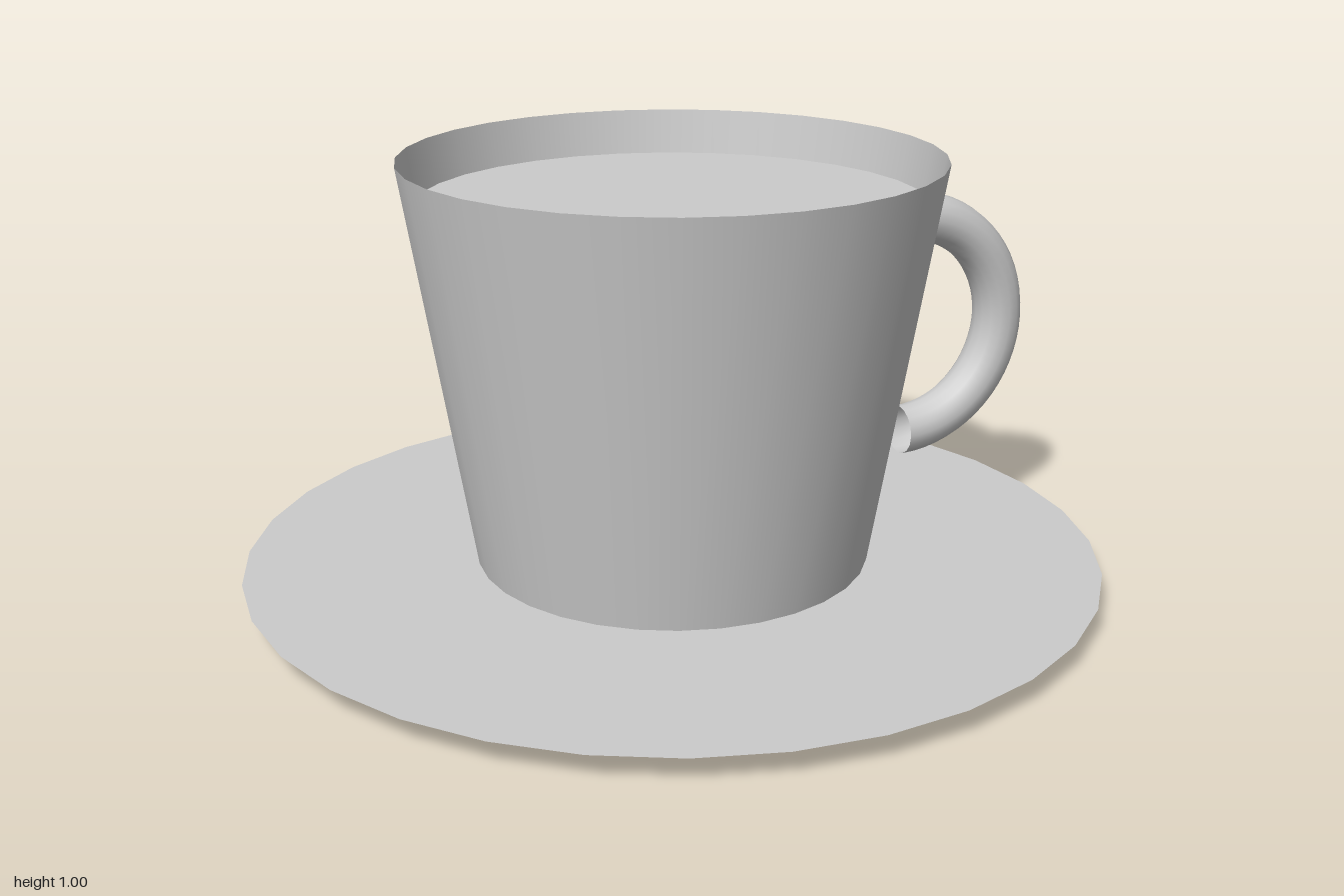
import * as THREE from 'three';

const SIDES = 32;

export function createModel() {
  const model = new THREE.Group();
  model.name = 'cupAndSaucer';
  const material = new THREE.MeshStandardMaterial({ color: 0xcccccc });
  const thin = new THREE.MeshStandardMaterial({ color: 0xcccccc, side: THREE.DoubleSide });

  const add = (name, geometry, mat, x, y) => {
    const mesh = new THREE.Mesh(geometry, mat);
    mesh.name = name;
    mesh.position.set(x, y, 0);
    model.add(mesh);
    return mesh;
  };

  // Flat-topped saucer with a flared underside
  add('saucer', new THREE.CylinderGeometry(1, 0.77, 0.06, SIDES), material, 0, 0.03);

  // Thin tapered cup wall, open at the top
  add('cupWall', new THREE.CylinderGeometry(0.615, 0.46, 0.94, SIDES, 1, true), thin, 0, 0.53);

  // Drink filling the cup, just inside the wall
  add('drink', new THREE.CylinderGeometry(0.585, 0.45, 0.83, SIDES), material, 0, 0.48);

  // Two stacked foam discs on the drink
  [0.385, 0.158].forEach((radius, i) => {
    const disc = new THREE.CircleGeometry(radius, SIDES).rotateX(-Math.PI / 2);
    add(i ? 'innerFoam' : 'outerFoam', disc, thin, 0, 0.897 + i * 0.002);
  });

  // Half-ring handle on the left side
  const handle = new THREE.TorusGeometry(0.27, 0.06, 16, 32, Math.PI).rotateZ(-Math.PI / 2);
  add('handle', handle, thin, 0.615, 0.535);

  return model;
}
